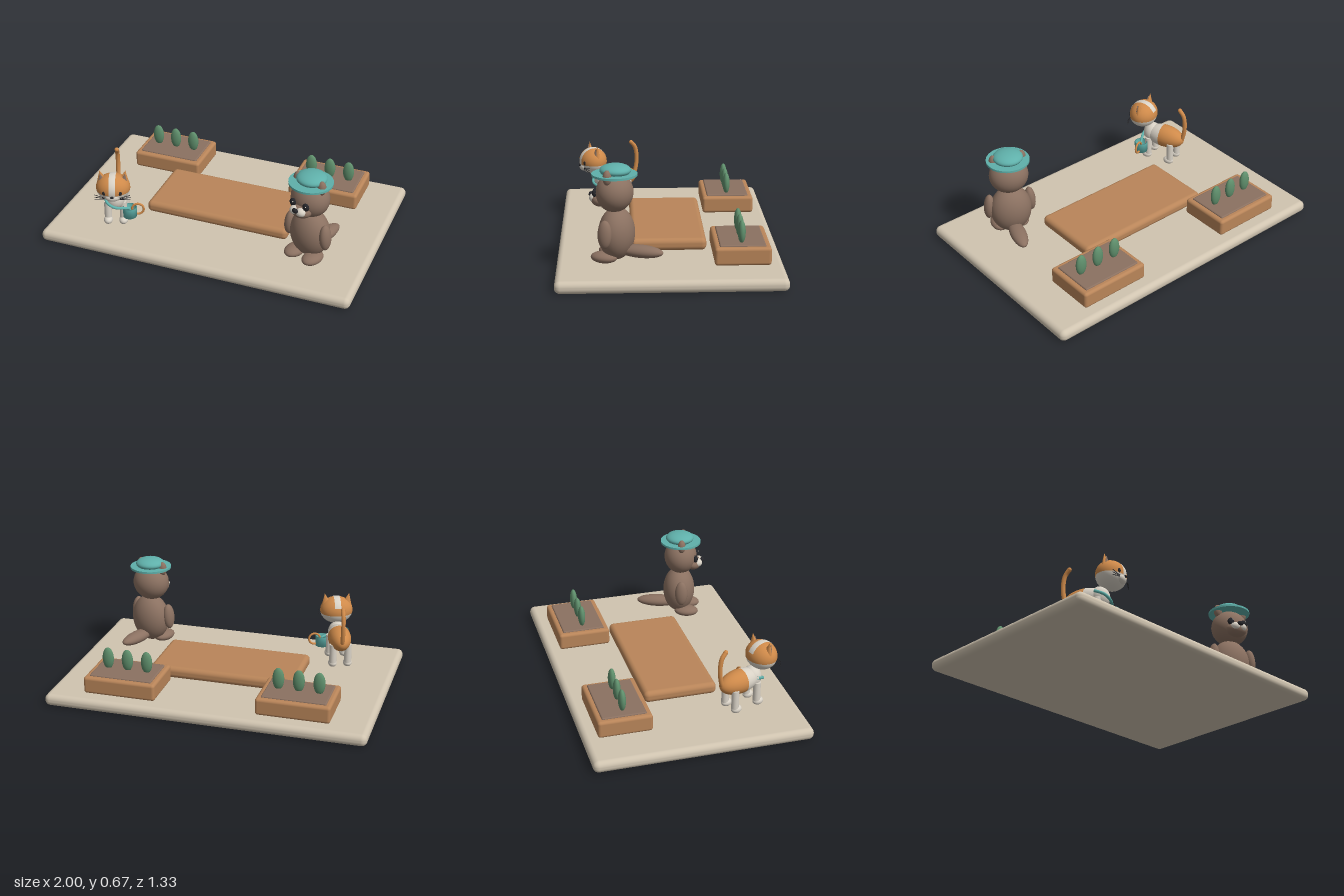
import * as THREE from 'three';
import { RoundedBoxGeometry } from 'three/addons/geometries/RoundedBoxGeometry.js';

const mat = (name, color, side = THREE.FrontSide) => {
  const m = new THREE.MeshStandardMaterial({ color, side });
  m.name = name;
  return m;
};

export function createModel() {
  const stone = mat('stone', 0xd0c4b0);
  const wood = mat('wood', 0xb98559);
  const brown = mat('brown', 0x8b7161);
  const teal = mat('teal', 0x5fb0aa, THREE.DoubleSide);
  const orange = mat('orange', 0xcf8a4a);
  const green = mat('green', 0x5f8f6c);
  const cream = mat('cream', 0xd9d2c6, THREE.DoubleSide);
  const dark = mat('dark', 0x26262a);

  const root = new THREE.Group();
  root.name = 'gardenTerrace';

  const add = (parent, name, geometry, material, pos = [0, 0, 0], rot = [0, 0, 0]) => {
    const m = new THREE.Mesh(geometry, material);
    m.name = name;
    m.position.set(...pos);
    m.rotation.set(...rot);
    parent.add(m);
    return m;
  };
  const group = (name, x, y, z, turn = 0) => {
    const g = new THREE.Group();
    g.name = name;
    g.position.set(x, y, z);
    g.rotation.y = turn;
    root.add(g);
    return g;
  };
  const ball = (rx, ry, rz) => new THREE.SphereGeometry(1, 28, 20).scale(rx, ry, rz);
  const blob = (parent, name, material, pos, size, rot) =>
    add(parent, name, ball(...size), material, pos, rot);
  const box = (parent, name, material, pos, size, r) =>
    add(parent, name, new RoundedBoxGeometry(...size, 4, r), material, pos);
  const tube = (parent, name, material, pts, r) => {
    const path = new THREE.CatmullRomCurve3(pts.map(p => new THREE.Vector3(...p)));
    return add(parent, name, new THREE.TubeGeometry(path, 32, r, 10), material);
  };

  // Ground slab and low platform
  box(root, 'slab', stone, [0, 0.04, 0], [2, 0.075, 1.33], 0.034);
  box(root, 'platform', wood, [0, 0.118, 0], [0.935, 0.075, 0.455], 0.03);

  // Planters with three shrubs each
  for (const s of [-1, 1]) {
    const p = group(s < 0 ? 'rightPlanter' : 'leftPlanter', s * 0.54, 0, -0.42);
    box(p, 'planterBox', wood, [0, 0.138, 0], [0.455, 0.107, 0.33], 0.018);
    box(p, 'soil', brown, [0, 0.188, 0], [0.395, 0.024, 0.27], 0.008);
    for (const x of [-0.125, 0, 0.125])
      blob(p, 'shrub', green, [x, 0.26, 0.003], [0.036, 0.07, 0.023]);
  }

  // Brown animal with a flat tail and a hat
  const b = group('brownAnimal', 0.64, 0, 0.32, -0.35);
  blob(b, 'body', brown, [0, 0.255, -0.01], [0.13, 0.155, 0.105]);
  blob(b, 'head', brown, [0, 0.5, 0], [0.122, 0.115, 0.108]);
  blob(b, 'tail', brown, [0, 0.158, -0.155], [0.05, 0.038, 0.14]);
  blob(b, 'muzzle', brown, [0, 0.455, 0.085], [0.07, 0.045, 0.055]);
  blob(b, 'nose', dark, [0, 0.478, 0.145], [0.021, 0.015, 0.013]);
  for (const s of [-1, 1]) {
    blob(b, 'cheek', cream, [s * 0.022, 0.463, 0.115], [0.033, 0.028, 0.032]);
    blob(b, 'eye', dark, [s * 0.047, 0.5, 0.104], [0.023, 0.025, 0.015]);
    blob(b, 'eyeGlint', cream, [s * 0.047 + 0.007, 0.51, 0.117], [0.004, 0.004, 0.003]);
    blob(b, 'ear', brown, [s * 0.088, 0.605, 0.012], [0.028, 0.045, 0.026]);
    blob(b, 'arm', brown, [s * 0.132, 0.28, 0.015], [0.033, 0.083, 0.042], [0, 0, s * 0.08]);
    blob(b, 'foot', brown, [s * 0.067, 0.123, 0.045], [0.056, 0.034, 0.08]);
  }
  add(b, 'hatBrim', new THREE.CylinderGeometry(0.133, 0.133, 0.013, 40), teal, [0, 0.607, 0]);
  blob(b, 'hatCrown', teal, [0, 0.632, -0.006], [0.092, 0.038, 0.092]);

  // Cat
  const c = group('cat', -0.63, 0, 0.32, 0.35);
  const part = (name, material, pos, size, t0, t1) => add(c, name,
    new THREE.SphereGeometry(1, 28, 16, 0, Math.PI * 2, t0 * Math.PI, (t1 - t0) * Math.PI)
      .rotateX(Math.PI / 2).scale(...size), material, pos);
  part('bodyFront', cream, [0, 0.255, -0.01], [0.073, 0.075, 0.14], 0, 0.46);
  part('bodyBack', orange, [0, 0.255, -0.01], [0.073, 0.075, 0.14], 0.46, 1);
  blob(c, 'chest', cream, [0, 0.255, 0.085], [0.06, 0.07, 0.06]);

  // Head: orange above, cream below, with a pale stripe over the crown
  const headPos = [0, 0.383, 0.155];
  const headCut = (name, material, t0, t1) => add(c, name,
    new THREE.SphereGeometry(1, 28, 16, 0, Math.PI * 2, t0 * Math.PI, (t1 - t0) * Math.PI)
      .scale(0.105, 0.088, 0.09), material, headPos);
  headCut('headTop', orange, 0, 0.56);
  headCut('headBottom', cream, 0.56, 1);
  add(c, 'headStripe',
    new THREE.SphereGeometry(1.015, 32, 4, Math.PI * 0.42, Math.PI * 0.95, Math.PI * 0.44, Math.PI * 0.12)
      .rotateZ(Math.PI / 2).scale(0.105, 0.088, 0.09), cream, headPos);
  blob(c, 'muzzle', cream, [0, 0.348, 0.22], [0.045, 0.028, 0.028]);
  blob(c, 'nose', dark, [0, 0.36, 0.248], [0.011, 0.008, 0.007]);

  for (const s of [-1, 1]) {
    blob(c, 'eye', dark, [s * 0.047, 0.38, 0.229], [0.013, 0.016, 0.009]);
    add(c, 'ear', new THREE.ConeGeometry(0.034, 0.08, 20).scale(1, 1, 0.6), orange,
      [s * 0.072, 0.457, 0.15], [0, 0, -s * 0.18]);
    add(c, 'innerEar', new THREE.ConeGeometry(0.022, 0.055, 20).scale(1, 1, 0.5), brown,
      [s * 0.072, 0.454, 0.162], [0, 0, -s * 0.18]);
    for (const k of [-1, 0, 1])
      add(c, 'whisker', new THREE.CylinderGeometry(0.002, 0.002, 0.065, 6), dark,
        [s * 0.078, 0.345 + k * 0.01, 0.226], [0, s * 0.25, Math.PI / 2 + s * k * 0.18]);
    for (const [z, name] of [[0.09, 'frontLeg'], [-0.075, 'backLeg']]) {
      add(c, name, new THREE.CylinderGeometry(0.023, 0.023, 0.13, 18), cream, [s * 0.048, 0.17, z]);
      blob(c, 'paw', cream, [s * 0.048, 0.105, z + 0.01], [0.028, 0.025, 0.035]);
    }
  }
  tube(c, 'tail', orange, [[0, 0.23, -0.12], [0, 0.29, -0.146], [0, 0.38, -0.157],
    [0, 0.45, -0.145], [0, 0.485, -0.118]], 0.014);
  blob(c, 'tailTip', orange, [0, 0.485, -0.118], [0.014, 0.014, 0.014]);

  // Strap across the chest carrying a cup
  tube(c, 'strap', teal, [[-0.065, 0.275, 0.08], [-0.045, 0.25, 0.135], [0, 0.228, 0.153],
    [0.05, 0.215, 0.14], [0.09, 0.205, 0.125]], 0.009);
  const cup = [[0, -0.033], [0.042, -0.033], [0.044, 0.033], [0.038, 0.033], [0.036, -0.025], [0, -0.025]];
  add(c, 'cup', new THREE.LatheGeometry(cup.map(p => new THREE.Vector2(...p)), 28), teal, [0.092, 0.182, 0.122]);
  add(c, 'cupHandle', new THREE.TorusGeometry(0.036, 0.007, 10, 28), orange, [0.142, 0.197, 0.115]);

  return root;
}
